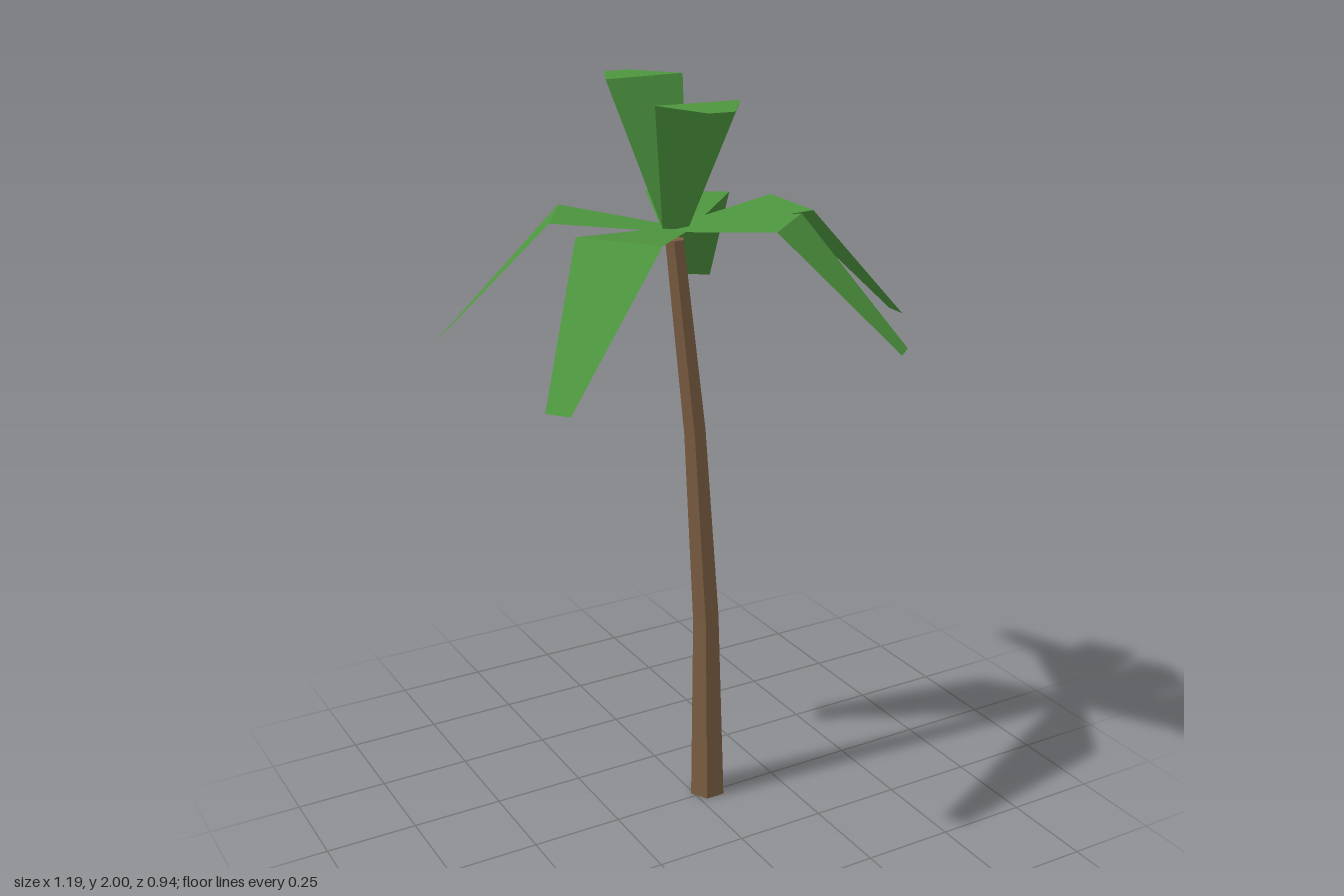
import * as THREE from 'three';

const leafGreen = new THREE.MeshStandardMaterial({ name: 'leafGreen', color: 0x4d953e, flatShading: true, side: THREE.DoubleSide });
const barkBrown = new THREE.MeshStandardMaterial({ name: 'barkBrown', color: 0x7c5e42, flatShading: true });

const CROWN = new THREE.Vector3(-0.065, 1.645, 0.01);

// Bent six-sided trunk: unit cylinder rings scaled and shifted to [y, x, z, radius]
function trunk() {
  const rings = [
    [0, 0.045, -0.016, 0.053],
    [0.55, 0.035, -0.009, 0.04],
    [1.1, -0.004, -0.001, 0.032],
    [1.62, -0.067, 0.007, 0.026],
  ];
  const geo = new THREE.CylinderGeometry(1, 1, 3, 6, 3).rotateY(Math.PI / 6).translate(0, 1.5, 0);
  const p = geo.attributes.position;
  for (let i = 0; i < p.count; i++) {
    const [y, x, z, r] = rings[Math.round(p.getY(i))];
    p.setXYZ(i, x + p.getX(i) * r, y, z + p.getZ(i) * r);
  }
  geo.computeVertexNormals();
  const mesh = new THREE.Mesh(geo, barkBrown);
  mesh.name = 'trunk';
  return mesh;
}

// Folded leaf sheet: narrow base at the crown, wide fold, narrow tip.
// fold and tip are [x1, z1, x2, z2, y1, y2], the first end on the same side in both.
function frond(name, fold, tip) {
  const edge = ([x1, z1, x2, z2, y1, y2 = y1]) => [new THREE.Vector3(x1, y1, z1), new THREE.Vector3(x2, y2, z2)];
  const [f1, f2] = edge(fold);
  const [t1, t2] = edge(tip);
  const half = f2.clone().sub(f1).setY(0).setLength(0.035);
  const b1 = CROWN.clone().sub(half);
  const b2 = CROWN.clone().add(half);
  const corners = [b1, b2, f2, b1, f2, f1, f1, f2, t2, f1, t2, t1];
  const geo = new THREE.BufferGeometry().setFromPoints(corners);
  geo.computeVertexNormals();
  const mesh = new THREE.Mesh(geo, leafGreen);
  mesh.name = name;
  return mesh;
}

export function createModel() {
  const palm = new THREE.Group();
  palm.name = 'palmTree';
  palm.add(trunk());

  // Each edge runs so that the sheet's front side faces up
  const fronds = [
    ['leftFrond', [0.257, 0.137, 0.27, -0.083, 1.682], [0.592, 0.077, 0.595, 0.013, 1.355]],
    ['frontLeftFrond', [0.046, 0.303, 0.212, 0.153, 1.682], [0.302, 0.469, 0.35, 0.427, 1.385]],
    ['frontRightFrond', [-0.388, 0.112, -0.254, 0.29, 1.682], [-0.595, 0.367, -0.557, 0.418, 1.36]],
    ['backRightFrond', [-0.266, -0.24, -0.38, 0.05 - 0.1, 1.682], [-0.563, -0.329, -0.598, -0.278, 1.36]],
    ['backLeftFrond', [0.19, -0.16, 0.01, -0.29, 1.682], [0.295, -0.44, 0.241, -0.475, 1.385]],
    ['uprightFrontFrond', [-0.187, 0.134, 0.033, 0.153, 1.972], [-0.123, 0.271, -0.056, 0.277, 1.968]],
    ['uprightBackFrond', [0.04, -0.14, -0.18, -0.131, 2.0], [-0.04, -0.284, -0.107, -0.284, 1.997]],
  ];
  const crown = new THREE.Group();
  crown.name = 'crown';
  for (const [name, fold, tip] of fronds) crown.add(frond(name, fold, tip));
  palm.add(crown);
  return palm;
}
